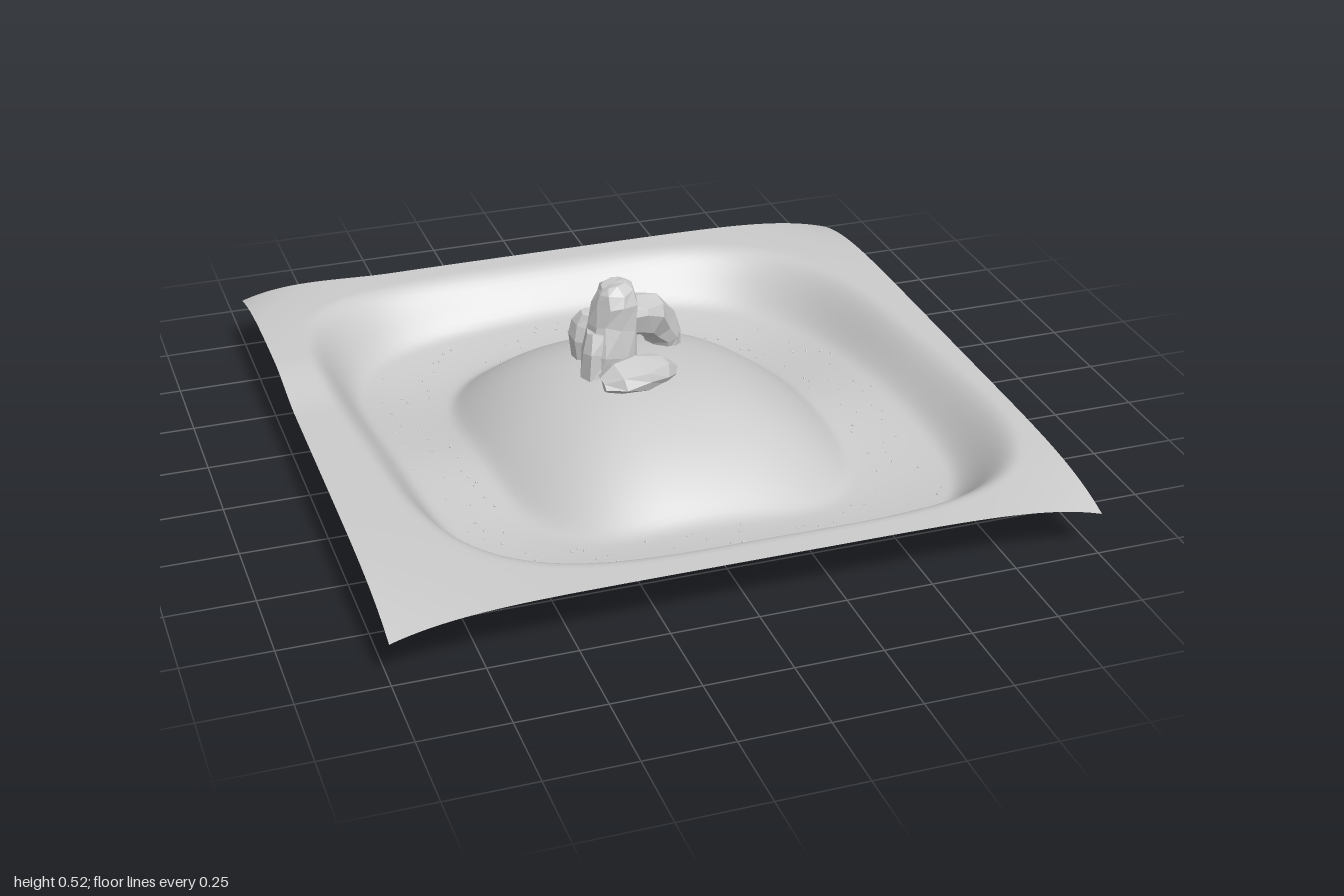
import * as THREE from 'three';
import { mergeGeometries } from 'three/addons/utils/BufferGeometryUtils.js';

const smooth = (a, b, v) => THREE.MathUtils.smoothstep(v, a, b);

function seeded(seed) {
  let s = seed;
  return () => (s = (s * 16807) % 2147483647) / 2147483647;
}

// Distance in a rounded square with its own reach on each side (1 = its edge)
function squareDistance(x, z, left, right, back, front, power) {
  const u = Math.abs(x) / (x < 0 ? left : right);
  const v = Math.abs(z) / (z < 0 ? back : front);
  return Math.pow(u ** power + v ** power, 1 / power);
}
// Outer basin and central mound, both slightly skewed
const basin = (x, z) => squareDistance(x - 0.09 * z, z, 0.84, 0.9, 0.89, 0.89, 3.8);
const moundDistance = (x, z) => squareDistance(x - 0.07 * z, z, 0.49, 0.54, 0.58, 0.57, 3.2);

// Ground height: rim, sunken moat and central mound
function groundHeight(x, z) {
  const d = basin(x, z);
  const angle = Math.atan2(z, x);
  const floor = 0.045 - 0.034 * Math.sin(2 * angle) ** 2 + 0.35 * Math.max(0, d - 0.64) ** 2;
  const g = 1 - moundDistance(x, z) ** 2.4;
  const mound = 0.5 * (g + Math.sqrt(g * g + 0.005));
  const inner = floor + (0.263 - floor) * mound;

  // Rim droops at the corners and swells on one side
  const swell = smooth(0.5, 0.98, -x) * smooth(0.15, 0.45, -z);
  const rim = 0.19 + 0.03 * swell - 0.055 * Math.abs(x * z) ** 6;
  return THREE.MathUtils.lerp(inner, rim, smooth(0.86, 1.04, d));
}

// Faceted stone: rings of uneven radius lofted along a path.
// Each path entry is [x, y, z, radius along side, radius across side].
function stone(name, path, side, sides, seed, material) {
  const rand = seeded(seed);
  const curve = new THREE.CatmullRomCurve3(path.map(p => new THREE.Vector3(p[0], p[1], p[2])));
  const pos = [], index = [];
  const last = path.length - 1;
  path.forEach((p, i) => {
    const t = curve.getTangent(i / last);
    const u = new THREE.Vector3(...side);
    u.addScaledVector(t, -u.dot(t)).normalize();
    const v = new THREE.Vector3().crossVectors(t, u);
    for (let j = 0; j < sides; j++) {
      const a = ((j + (rand() - 0.5) * 0.6) / sides) * Math.PI * 2;
      const k = 0.92 + rand() * 0.2;
      const q = new THREE.Vector3(p[0], p[1], p[2])
        .addScaledVector(u, Math.cos(a) * p[3] * k)
        .addScaledVector(v, Math.sin(a) * p[4] * k)
        .addScaledVector(t, (rand() - 0.5) * 0.012);
      pos.push(q.x, q.y, q.z);
      if (i < last) {
        const n = (j + 1) % sides, b = i * sides, c = b + sides;
        index.push(b + j, b + n, c + n, b + j, c + n, c + j);
      }
    }
  });
  // End caps
  const start = pos.length / 3;
  pos.push(...path[0].slice(0, 3), ...path[last].slice(0, 3));
  for (let j = 0; j < sides; j++) {
    const n = (j + 1) % sides;
    index.push(start, n, j, start + 1, last * sides + j, last * sides + n);
  }
  const geo = new THREE.BufferGeometry();
  geo.setAttribute('position', new THREE.Float32BufferAttribute(pos, 3));
  geo.setIndex(index);
  geo.computeVertexNormals();
  const mesh = new THREE.Mesh(geo, material);
  mesh.name = name;
  return mesh;
}

export function createModel() {
  const model = new THREE.Group();
  model.name = 'islandTerrain';
  const groundMat = new THREE.MeshStandardMaterial({ color: 0xcccccc, side: THREE.DoubleSide });
  const rockMat = new THREE.MeshStandardMaterial({ color: 0xcccccc, flatShading: true });

  // Ground sheet
  const geo = new THREE.PlaneGeometry(2, 2, 120, 120).rotateX(-Math.PI / 2);
  const p = geo.attributes.position;
  for (let i = 0; i < p.count; i++) p.setY(i, groundHeight(p.getX(i), p.getZ(i)));
  geo.computeVertexNormals();
  const ground = new THREE.Mesh(geo, groundMat);
  ground.name = 'ground';
  model.add(ground);

  // Rock cluster on the mound
  const rocks = new THREE.Group();
  rocks.name = 'rocks';
  rocks.add(
    stone('pillarRock', [
      [-0.08, 0.24, -0.04, 0.08, 0.068], [-0.08, 0.31, -0.04, 0.08, 0.07],
      [-0.065, 0.39, -0.045, 0.07, 0.07], [-0.058, 0.46, -0.055, 0.068, 0.07],
      [-0.06, 0.5, -0.055, 0.056, 0.06], [-0.065, 0.517, -0.055, 0.034, 0.036],
    ], [1, 0, 0], 9, 11, rockMat),
    stone('archRock', [
      [-0.05, 0.4, -0.065, 0.06, 0.055], [0.01, 0.39, -0.095, 0.063, 0.06],
      [0.06, 0.37, -0.125, 0.066, 0.064], [0.1, 0.33, -0.15, 0.063, 0.06],
      [0.122, 0.28, -0.165, 0.06, 0.052], [0.13, 0.235, -0.17, 0.055, 0.045],
    ], [0.5, 0, 0.87], 9, 23, rockMat),
    stone('backRock', [
      [-0.11, 0.24, -0.15, 0.055, 0.05], [-0.11, 0.31, -0.15, 0.065, 0.055],
      [-0.1, 0.36, -0.145, 0.058, 0.05], [-0.1, 0.39, -0.14, 0.034, 0.03],
    ], [1, 0, 0], 7, 37, rockMat),
    stone('sideRock', [
      [-0.13, 0.24, -0.015, 0.045, 0.055], [-0.13, 0.32, -0.02, 0.045, 0.055],
      [-0.12, 0.38, -0.03, 0.034, 0.04],
    ], [1, 0, 0], 6, 41, rockMat),
    stone('slabRock', [
      [-0.14, 0.27, 0.09, 0.04, 0.022], [-0.1, 0.282, 0.09, 0.066, 0.042],
      [-0.03, 0.285, 0.08, 0.076, 0.046], [0.04, 0.28, 0.062, 0.058, 0.038],
      [0.078, 0.268, 0.05, 0.032, 0.02],
    ], [0.15, 0, 1], 8, 53, rockMat),
  );
  model.add(rocks);

  // Tiny pebbles scattered around the moat
  const rand = seeded(97);
  const bits = [];
  for (let i = 0; i < 150; i++) {
    const a = (i + rand()) / 150 * Math.PI * 2;
    const dx = Math.cos(a), dz = Math.sin(a);
    const k = (0.65 + rand() * 0.2) / basin(dx, dz);
    const x = dx * k, z = dz * k;
    const bit = new THREE.IcosahedronGeometry(0.003 + rand() * 0.002, 0);
    bits.push(bit.rotateY(rand() * 6).translate(x, groundHeight(x, z) + 0.001, z));
  }
  const pebbles = new THREE.Mesh(mergeGeometries(bits), rockMat);
  pebbles.name = 'pebbles';
  model.add(pebbles);

  // Rest the lowest point on y = 0
  model.position.y = -new THREE.Box3().setFromObject(model).min.y;
  return model;
}
